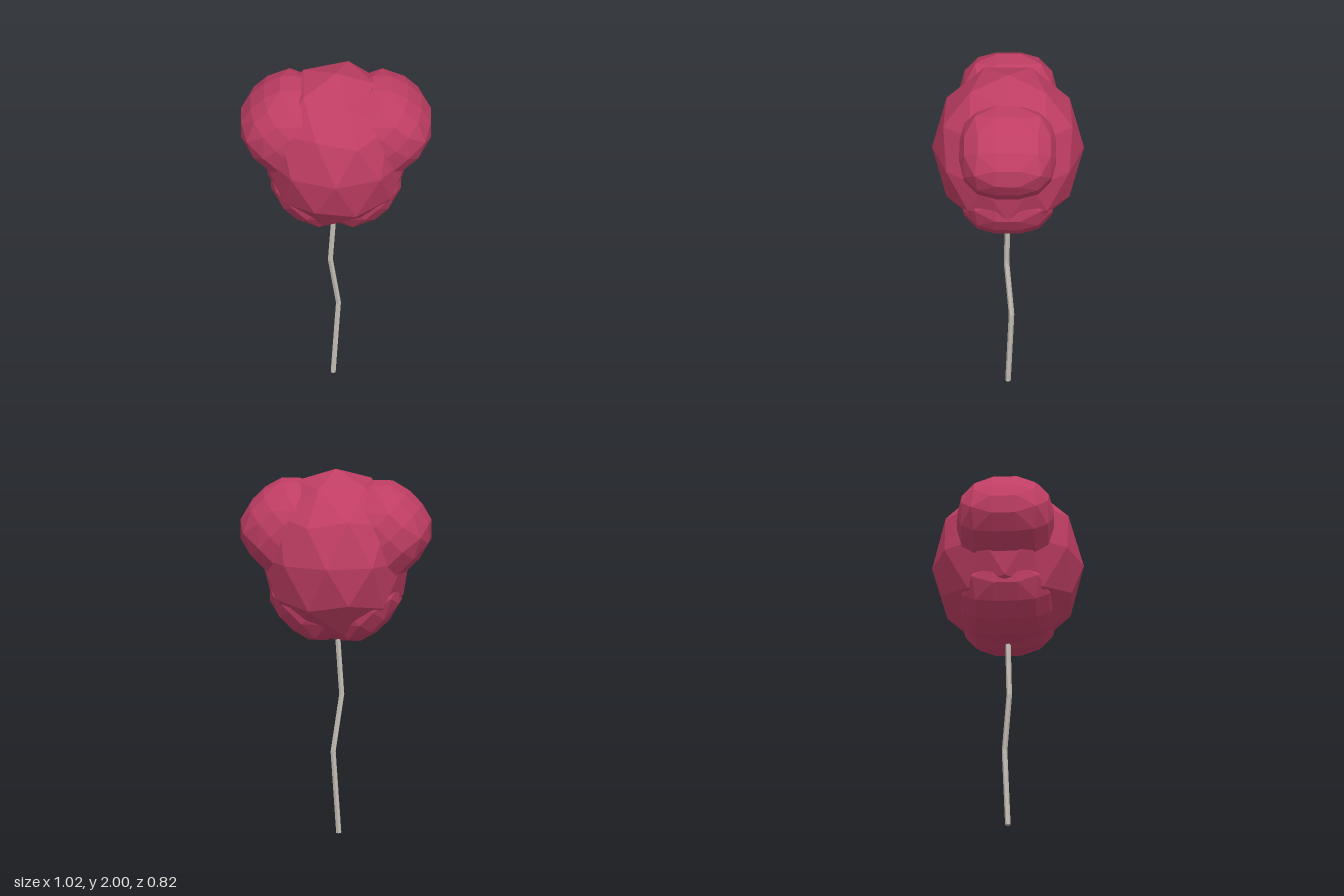
import * as THREE from 'three';
import { ConvexGeometry } from 'three/addons/geometries/ConvexGeometry.js';

// Box with rounded edges: three facets per quarter turn, spherical corners
function bevelledBox(hx, hy, hz, r) {
  const points = [];
  const s = (n) => Math.sin((n * Math.PI) / 6);
  for (const sx of [-1, 1]) for (const sy of [-1, 1]) for (const sz of [-1, 1]) {
    for (let i = 0; i <= 3; i++) for (let j = 0; i + j <= 3; j++) {
      const d = new THREE.Vector3(s(i), s(j), s(3 - i - j)).normalize().multiplyScalar(r);
      points.push(new THREE.Vector3(sx * (hx + d.x), sy * (hy + d.y), sz * (hz + d.z)));
    }
  }
  return new ConvexGeometry(points);
}

export function createModel() {
  const group = new THREE.Group();
  const red = new THREE.MeshStandardMaterial({ color: 0xc03e64, flatShading: true });
  red.name = 'raspberry red';
  const grey = new THREE.MeshStandardMaterial({ color: 0xc4bfb5, flatShading: true });
  grey.name = 'string grey';

  const add = (name, geometry, material) => {
    const mesh = new THREE.Mesh(geometry, material);
    mesh.name = name;
    group.add(mesh);
    return mesh;
  };

  // Central balloon body: faceted ball with a vertex at each pole
  const ball = new THREE.IcosahedronGeometry(1, 1);
  ball.rotateZ(-Math.atan(2 / (1 + Math.sqrt(5))));
  ball.scale(0.408, 0.47, 0.408);
  add('balloonBody', ball, red).position.y = 1.53;

  // Two long rounded lobes crossing inside the body
  for (const side of [1, -1]) {
    const lobe = add(side > 0 ? 'leftLobe' : 'rightLobe', bevelledBox(0.051, 0.29, 0.065, 0.195), red);
    lobe.position.set(side * 0.08, 1.501, 0);
    lobe.rotation.z = (-side * Math.PI) / 4;
  }

  // Kinked string: each row of a thin cylinder is moved onto the path
  const path = [[-0.015, 0, 0], [0.013, 0.45, -0.019], [-0.03, 0.76, 0.008], [-0.008, 1.1, 0]];
  const string = new THREE.CylinderGeometry(0.015, 0.015, 3, 6, 3);
  const p = string.attributes.position;
  for (let i = 0; i < p.count; i++) {
    const [x, y, z] = path[Math.round(p.getY(i) + 1.5)];
    p.setXYZ(i, p.getX(i) + x, y, p.getZ(i) + z);
  }
  string.computeVertexNormals();
  add('string', string, grey);

  return group;
}
